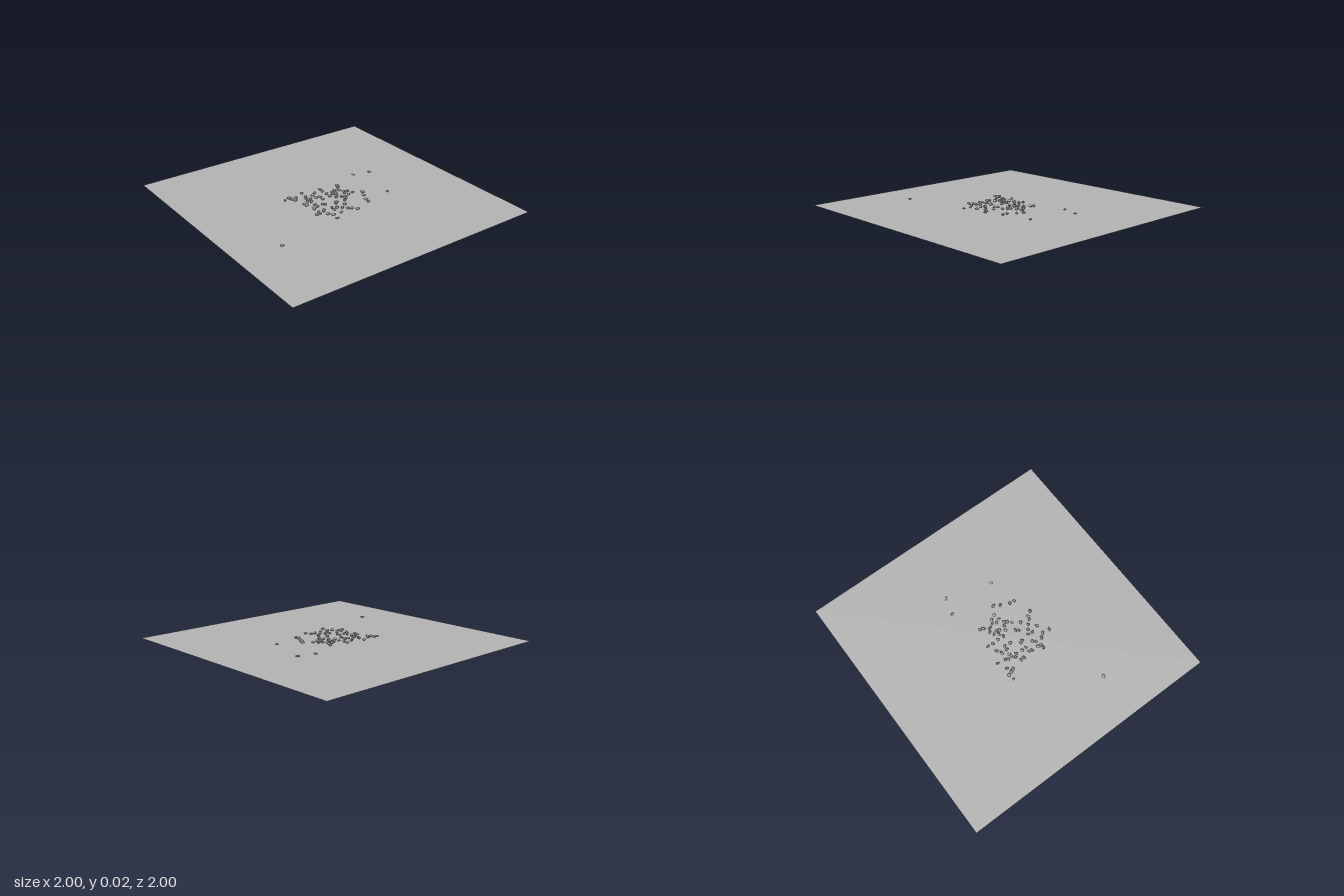
import * as THREE from 'three';

// Seeded random numbers for small differences between pebbles
function makeRandom(seed) {
  return () => {
    seed = (seed * 16807) % 2147483647;
    return seed / 2147483647;
  };
}

// Pebble centres as x, z pairs in hundredths of a unit
const spots = [
  -29, -15, -25, -16, -24, -13, -23, -11, -20, -14, -13, -17, -14, -11, -15, -9,
  1.5, -15, -8.5, -10, -5, -12, 1, -11, 15.5, -12, 14.5, -9.5, 37.5, -21, 50.5, -17.5,
  -66, 37.5, 40.5, 16.5, 24.5, 7, 22, 11.5, 19, 18, 18.5, 21.5, 18.5, 3, -21, -2,
  -21, 0.5, -17, -4, -14.5, -6, -12.5, -6.5, -15, -2, -8.5, -5.5, -5.5, -5, -6, -0.5,
  1.5, -6, 1, -1.5, 4.5, -3, 6.5, -6, 7.5, -3, 6.5, -1, 9.5, -7.5, 12, -5.5,
  14, -2, 16.5, -0.5, 12.5, 1, 14, 4, 9.5, 5.5, 7, 4, 8.5, 7.5, 4, 2.5,
  -15.5, 3, -19.5, 7, -20, 8.5, -15.5, 6.5, -10.5, 5.5, -9.5, 7.5, -0.5, 8.5, -2, 10.5,
  6, 10, 2, 15, -20, 14, -23, 16.5, -20.5, 16, -16.5, 15, -14.5, 13, -16.5, 20,
  -8.5, 14, -9, 17.5, -5.5, 16, -2.5, 18.5, -14, 23, -14.5, 28.5, -7, 23, 0, 21.5,
  2.5, 22.5, 5, 26,
];

// Lumpy low-poly pebble: a sphere pushed in and out by a smooth rule
function pebbleGeometry(phase) {
  const geometry = new THREE.IcosahedronGeometry(1, 1);
  const position = geometry.attributes.position;
  const v = new THREE.Vector3();
  for (let i = 0; i < position.count; i++) {
    v.fromBufferAttribute(position, i);
    v.multiplyScalar(1 + 0.1 * Math.sin(3 * v.x + phase) + 0.08 * Math.cos(4 * v.z + 2 * v.y + phase));
    position.setXYZ(i, v.x, v.y, v.z);
  }
  geometry.computeVertexNormals();
  return geometry;
}

export function createModel() {
  const model = new THREE.Group();
  const random = makeRandom(41);

  const groundGrey = new THREE.MeshStandardMaterial({ color: 0xb5b5b5, side: THREE.DoubleSide });
  groundGrey.name = 'groundGrey';
  const pebbleGrey = new THREE.MeshStandardMaterial({ color: 0xb3b3b3, flatShading: true });
  pebbleGrey.name = 'pebbleGrey';

  // Flat square slab of ground
  const ground = new THREE.Mesh(new THREE.PlaneGeometry(2, 2).rotateX(-Math.PI / 2), groundGrey);
  ground.name = 'ground';
  model.add(ground);

  // Scattered pebbles lying on the ground
  const pebbles = new THREE.Group();
  pebbles.name = 'pebbles';
  const shapes = [0, 1.3, 2.6, 3.9, 5.2].map(pebbleGeometry);
  for (let i = 0; i < spots.length; i += 2) {
    const x = spots[i] / 100;
    const z = spots[i + 1] / 100;
    const size = 0.9 + 0.25 * random();
    const outlying = Math.hypot(x, z) > 0.32;
    const height = outlying ? 0.006 : 0.007 + 0.003 * random();
    const pebble = new THREE.Mesh(shapes[(i / 2) % shapes.length], pebbleGrey);
    pebble.name = 'pebble';
    pebble.scale.set(0.0135 * size, height, 0.0095 * size);
    pebble.rotation.y = random() * Math.PI;
    pebble.position.set(x, height * 1.2, z);
    pebbles.add(pebble);
  }
  model.add(pebbles);
  return model;
}
